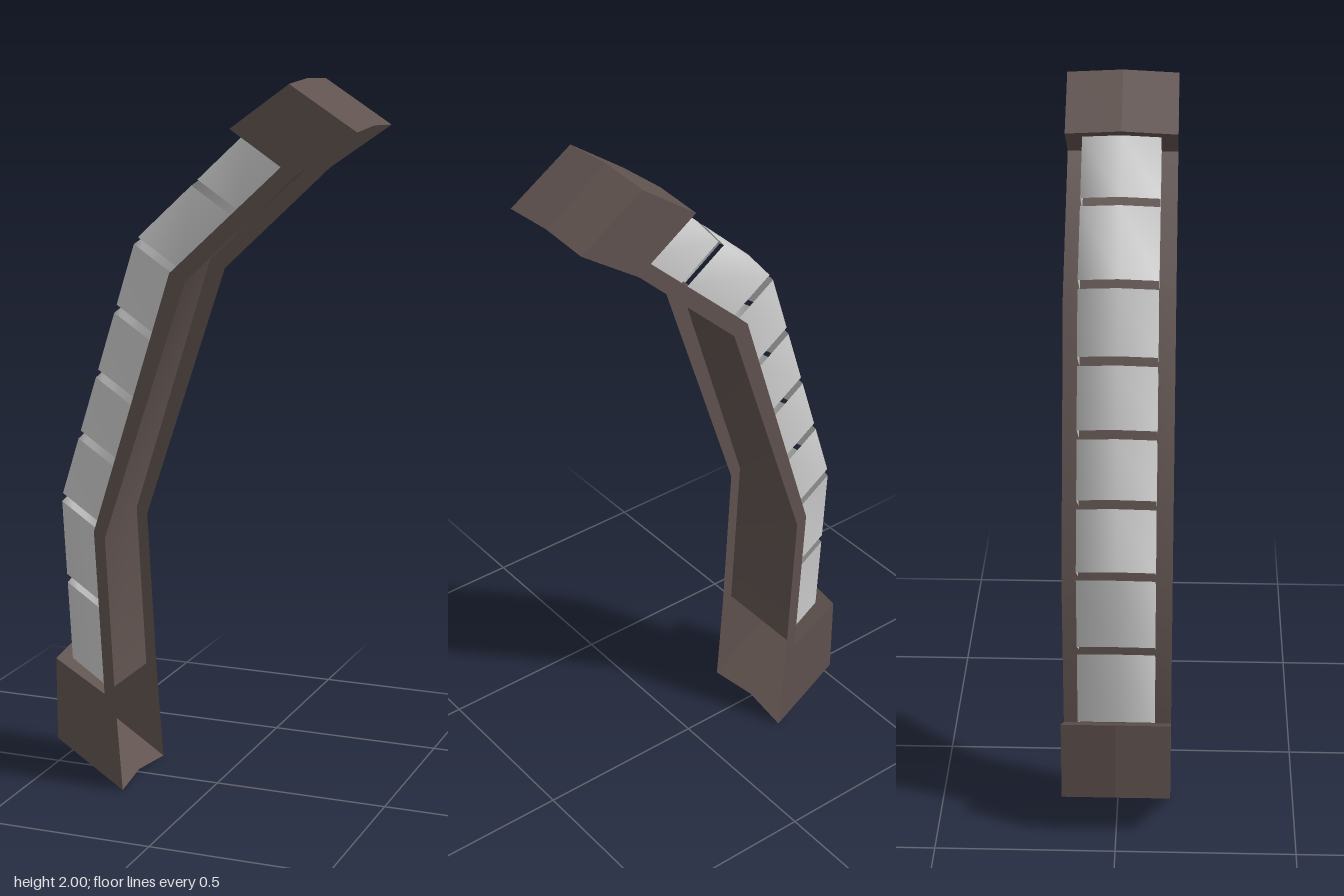
import * as THREE from 'three';
import { mergeGeometries } from 'three/addons/utils/BufferGeometryUtils.js';

const W = 0.15;        // half width of rail and caps
const PLATE_W = 0.105; // half width of plates

// Surface through rows of points, smooth inside one sheet
function loft(rows) {
  const n = rows[0].length, idx = [];
  for (let i = 0; i < rows.length - 1; i++) {
    for (let j = 0; j < n - 1; j++) {
      const a = i * n + j, c = a + n;
      idx.push(a, a + 1, c, a + 1, c + 1, c);
    }
  }
  const g = new THREE.BufferGeometry();
  g.setAttribute('position', new THREE.Float32BufferAttribute(rows.flat(2), 3));
  g.setIndex(idx);
  g.computeVertexNormals();
  return g;
}

const mix = (a, b, t) => [a[0] + (b[0] - a[0]) * t, a[1] + (b[1] - a[1]) * t];
const at = (p, z, s = [0, 0]) => [p[0] + s[0], p[1] + s[1], z];

// Back and open edge of the rail channel, bottom to top
const BACK = [[-0.283, 0.28], [-0.31, 0.75], [-0.08, 1.485], [0.235, 1.778]];
const EDGE = [[-0.25, 0.26], [-0.277, 0.735], [-0.036, 1.463], [0.27, 1.753]];

function createRail(material) {
  const parts = [loft(BACK.map(p => [at(p, -W), at(p, W)]))];
  for (const side of [-1, 1]) {
    for (let i = 0; i < BACK.length - 1; i++) {
      const rows = [i, i + 1].map(k => {
        const row = [at(BACK[k], side * W), at(EDGE[k], side * W)];
        return side > 0 ? row : row.reverse();
      });
      parts.push(loft(rows));
    }
  }
  const rail = new THREE.Mesh(mergeGeometries(parts), material);
  rail.name = 'rail';
  return rail;
}

// Open plate: two walls and a shallow ridged cover
function createPlate(p, q, material) {
  const section = c => [
    at(c, -PLATE_W),
    at(c, -PLATE_W, [-0.118, 0.079]),
    at(c, 0, [-0.131, 0.088]),
    at(c, PLATE_W, [-0.118, 0.079]),
    at(c, PLATE_W),
  ];
  const plate = new THREE.Mesh(loft([section(p), section(q)]), material);
  plate.name = 'plate';
  return plate;
}

// Hollow cap: cover, end wall, wall towards the plates and two sides
function createCap(name, c, material) {
  const fold = p => [at(p, -W), at(p, 0, c.ridge), at(p, W)];
  const straight = p => [at(p, -W), at(p, 0), at(p, W)];
  const panel = (a, b) => c.top ? loft([a, b]) : loft([b, a]);
  const parts = [
    panel(fold(c.outerStart), fold(c.outerEnd)),
    panel(fold(c.outerEnd), fold(c.innerEnd)),
    panel(straight(c.back), fold(c.outerStart)),
  ];
  const outline = new THREE.Shape(
    [c.innerEnd, c.outerEnd, c.outerStart, c.back, c.innerStart].map(p => new THREE.Vector2(...p)));
  for (const side of [-1, 1]) {
    const g = new THREE.ShapeGeometry(outline);
    if (side < 0) {
      g.index.array.reverse();
      g.computeVertexNormals();
    }
    g.translate(0, 0, side * W);
    g.deleteAttribute('uv');
    parts.push(g);
  }
  const cap = new THREE.Mesh(mergeGeometries(parts.map(g => g.toNonIndexed())), material);
  cap.name = name;
  return cap;
}

export function createModel() {
  const model = new THREE.Group();
  const dark = { color: 0x60534f, side: THREE.DoubleSide };
  const railMaterial = new THREE.MeshStandardMaterial(dark);
  const capMaterial = new THREE.MeshStandardMaterial({ ...dark, flatShading: true });
  const plateMaterial = new THREE.MeshStandardMaterial({ color: 0xcccccc, side: THREE.DoubleSide });

  model.add(createRail(railMaterial));

  // Plates along each straight run, with narrow gaps between them
  const plates = new THREE.Group();
  plates.name = 'plates';
  const breaks = [[0, 0.5, 1], [0, 0.25, 0.49, 0.74, 1], [0, 0.55, 1]];
  breaks.forEach((ts, run) => {
    const a = BACK[run], b = BACK[run + 1];
    const gap = 0.012 / Math.hypot(b[0] - a[0], b[1] - a[1]);
    for (let i = 0; i < ts.length - 1; i++) {
      const t0 = run === 0 && i === 0 ? 0 : ts[i] + gap;
      const t1 = run === 2 && i === 1 ? 1 : ts[i + 1] - gap;
      plates.add(createPlate(mix(a, b, t0), mix(a, b, t1), plateMaterial));
    }
  });
  model.add(plates);

  // Caps at both ends
  model.add(createCap('bottomCap', {
    top: false, ridge: [-0.013, 0.009], back: BACK[0], innerStart: EDGE[0],
    innerEnd: [-0.23, 0], outerEnd: [-0.43, 0.13], outerStart: [-0.432, 0.368],
  }, capMaterial));
  model.add(createCap('topCap', {
    top: true, ridge: [-0.002, 0.008], back: BACK[3], innerStart: EDGE[3],
    innerEnd: [0.442, 1.873], outerEnd: [0.256, 1.992], outerStart: [0.092, 1.873],
  }, capMaterial));
  return model;
}
